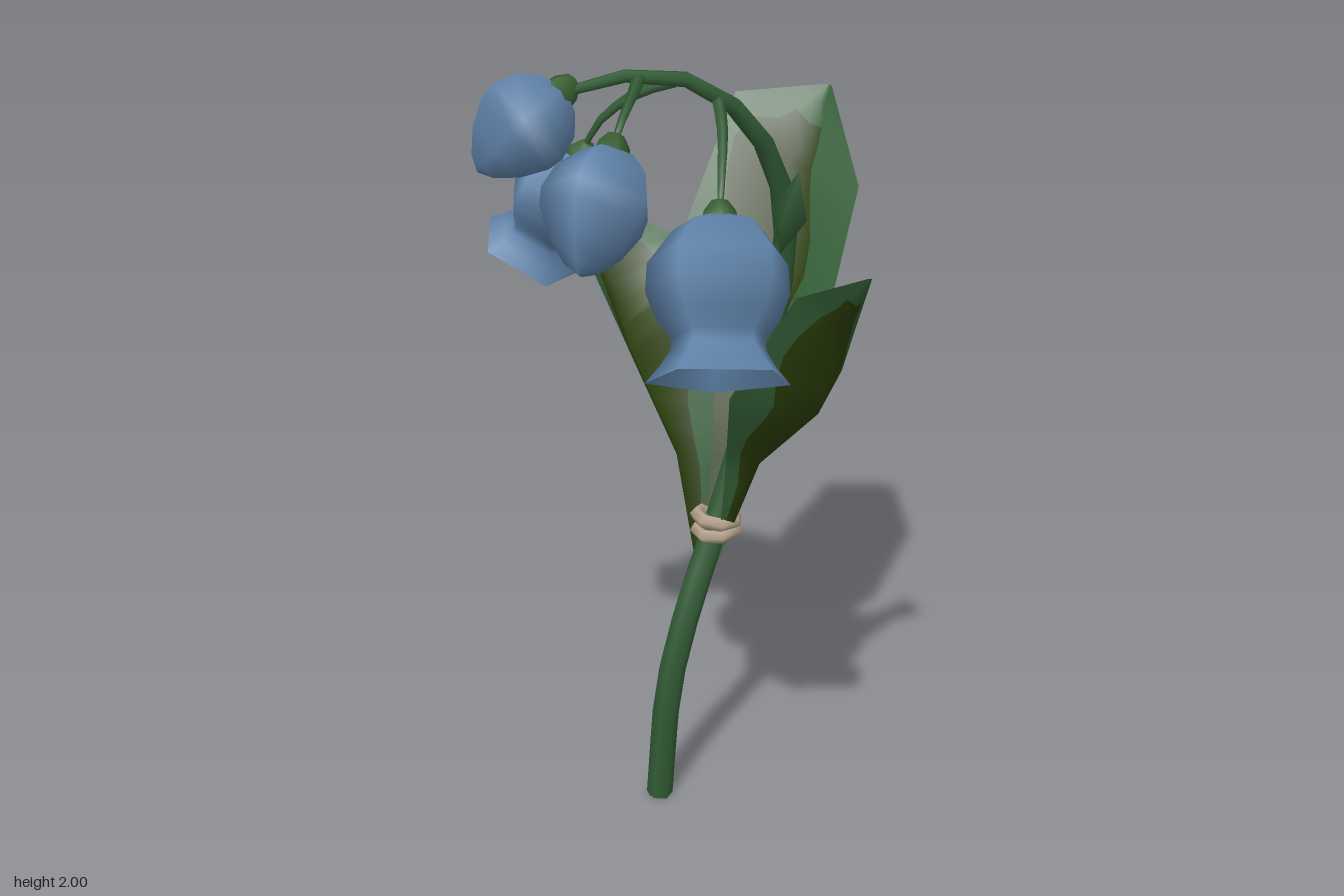
import * as THREE from 'three';

const mat = (name, color) => Object.assign(
  new THREE.MeshStandardMaterial({ color, side: THREE.DoubleSide }), { name });
const V = (p) => new THREE.Vector3(...p);

export function createModel() {
  const model = new THREE.Group();
  const green = mat('leaf green', 0x335d36);
  const mossy = mat('calyx green', 0x385f30);
  const olive = mat('olive green', 0x2a3d08);
  const blue = mat('petal blue', 0x6083aa);
  const twine = mat('twine beige', 0xb8a590);

  const add = (name, geometry, material, parent = model) => {
    const mesh = new THREE.Mesh(geometry, material);
    mesh.name = name;
    parent.add(mesh);
    return mesh;
  };

  // Tapered tube through points, radius running from r0 to r1
  const taperTube = (points, r0, r1, n, sides, power) => {
    const curve = new THREE.CatmullRomCurve3(points.map(V));
    const geo = new THREE.TubeGeometry(curve, n, 1, sides);
    const pos = geo.attributes.position;
    const p = new THREE.Vector3();
    for (let i = 0; i <= n; i++) {
      const c = curve.getPointAt(i / n);
      const r = r0 + (r1 - r0) * Math.pow(i / n, power);
      for (let j = 0; j <= sides; j++) {
        const k = i * (sides + 1) + j;
        p.fromBufferAttribute(pos, k).sub(c).multiplyScalar(r).add(c);
        pos.setXYZ(k, p.x, p.y, p.z);
      }
    }
    return geo;
  };

  // Main stem, arching forward over the top
  add('stem', taperTube([
    [-0.095, 0.005, 0.045], [-0.06, 0.36, 0.05], [-0.02, 0.6, 0.0], [0.02, 0.8, -0.07],
    [0.06, 1.0, -0.12], [0.1, 1.2, -0.15], [0.14, 1.4, -0.16], [0.17, 1.6, -0.12],
    [0.165, 1.76, -0.05], [0.12, 1.9, 0.06], [0.04, 1.975, 0.16], [-0.06, 1.985, 0.23],
    [-0.17, 1.955, 0.31]], 0.035, 0.011, 18, 6, 3), green);
  const cut = add('stemBase', new THREE.CircleGeometry(0.034, 6), green);
  cut.position.set(-0.095, 0.005, 0.045);
  cut.rotation.x = Math.PI / 2;

  // Small spindle-shaped bract on the upper stem
  const bract = add('bract', new THREE.LatheGeometry(
    [[0, -0.12], [0.045, 0], [0, 0.12]].map((p) => new THREE.Vector2(...p)), 4), green);
  bract.position.set(0.195, 1.63, -0.085);
  bract.quaternion.setFromUnitVectors(V([0, 1, 0]), V([0.07, 0.23, 0.06]).normalize());

  // Thin stalks carrying the hanging bells
  [
    [[0.09, 1.93, 0.09], [0.14, 1.87, 0.17], [0.18, 1.79, 0.26], [0.2, 1.72, 0.31]],
    [[0.02, 1.97, 0.16], [-0.06, 1.94, 0.18], [-0.15, 1.87, 0.195], [-0.2, 1.79, 0.19]],
    [[-0.04, 1.98, 0.21], [-0.01, 1.96, 0.3], [0.005, 1.92, 0.38], [0.005, 1.86, 0.43]],
  ].forEach((pts) => add('stalk', taperTube(pts, 0.016, 0.006, 6, 5, 1), green));

  // Five-sided flowers; profiles are [radius, fraction of length], far end to crown
  const flared = [[0.46, 1], [0.36, 0.89], [0.3, 0.8], [0.3, 0.73], [0.39, 0.62],
    [0.46, 0.45], [0.45, 0.27], [0.29, 0.08], [0.05, 0]];
  const closed = [[0, 1], [0.14, 0.93], [0.3, 0.76], [0.42, 0.54], [0.44, 0.4],
    [0.37, 0.2], [0.22, 0.06], [0.05, 0]];
  const flower = (name, top, end, profile, phi) => {
    const axis = V(end).sub(V(top));
    const len = axis.length();
    const group = new THREE.Group();
    group.name = name;
    group.position.copy(V(top));
    group.quaternion.setFromUnitVectors(V([0, -1, 0]), axis.normalize());
    const start = phi * Math.PI / 180;
    add('petals', new THREE.LatheGeometry(
      profile.map(([r, t]) => new THREE.Vector2(r * len, -t * len)), 5, start), blue, group);
    add('calyx', new THREE.LatheGeometry(
      [[0.042, -0.024], [0.036, 0.006], [0.018, 0.03], [0, 0.034]].map((p) => new THREE.Vector2(...p)),
      5, start + 0.6), mossy, group);
    model.add(group);
  };
  flower('rightBell', [0.2, 1.73, 0.31], [0.28, 1.425, 0.475], flared, 66);
  flower('lowerLeftBell', [-0.2, 1.79, 0.19], [-0.345, 1.545, 0.19], flared, 51);
  flower('upperLeftBud', [-0.175, 1.96, 0.305], [-0.325, 1.79, 0.43], closed, 20);
  flower('middleBud', [0.005, 1.875, 0.42], [0.015, 1.645, 0.585], closed, 5);

  // Leaf from rows of [edge, midrib, edge]; reachA and reachB set how far the
  // olive patch spreads from the midrib towards each edge
  const leaf = (name, rows, seed, reachA, reachB) => {
    const sub = 4;
    const n = (rows.length - 1) * sub;
    const pos = [];
    for (let i = 0; i <= n; i++) {
      const k = Math.min(Math.floor(i / sub), rows.length - 2);
      const f = i / sub - k;
      const [a, m, b] = rows[k].map((p, j) => V(p).lerp(V(rows[k + 1][j]), f));
      const v = i / n;
      const wave = (s) => 0.1 * Math.sin(i * 1.3 + s);
      const fade = v > 0.7 ? 1 - (v - 0.7) * 2.2 : 1;
      const wa = (reachA + wave(seed)) * fade;
      const wb = (reachB + wave(seed + 2)) * fade;
      [a, m.clone().lerp(a, wa), m, m.clone().lerp(b, wb), b].forEach((p) => pos.push(p.x, p.y, p.z));
    }
    const plain = [];
    const patch = [];
    for (let i = 0; i < n; i++) {
      for (let j = 0; j < 4; j++) {
        const q = i * 5 + j;
        const inPatch = (j === 1 || j === 2) && i < n - 2;
        (inPatch ? patch : plain).push(q, q + 1, q + 5, q + 1, q + 6, q + 5);
      }
    }
    const geo = new THREE.BufferGeometry();
    geo.setAttribute('position', new THREE.Float32BufferAttribute(pos, 3));
    geo.setIndex([...plain, ...patch]);
    geo.addGroup(0, plain.length, 0);
    geo.addGroup(plain.length, patch.length, 1);
    geo.computeVertexNormals();
    add(name, geo, [green, olive]);
  };
  leaf('backLeaf', [
    [[-0.02, 0.72, -0.05], [0.01, 0.72, -0.07], [0.04, 0.72, -0.05]],
    [[-0.1, 1.05, -0.14], [0.02, 1.02, -0.19], [0.13, 1.03, -0.12]],
    [[-0.19, 1.5, -0.32], [0.02, 1.38, -0.36], [0.24, 1.28, -0.2]],
    [[-0.15, 1.8, -0.53], [0.02, 1.64, -0.49], [0.24, 1.62, -0.42]],
    [[0.06, 1.825, -0.6], [0.08, 1.825, -0.61], [0.09, 1.82, -0.6]]], 0, 0.72, 0.46);
  leaf('leftLeaf', [
    [[0.04, 0.76, -0.04], [0.05, 0.75, -0.06], [0.04, 0.76, -0.1]],
    [[0.07, 0.98, -0.01], [0.14, 0.99, -0.06], [0.12, 1.0, -0.15]],
    [[0.13, 1.22, 0.1], [0.3, 1.16, -0.04], [0.3, 1.22, -0.19]],
    [[0.29, 1.49, 0.09], [0.37, 1.39, 0.0], [0.36, 1.39, -0.14]],
    [[0.45, 1.55, 0.06], [0.455, 1.55, 0.06], [0.455, 1.55, 0.05]]], 1, 0.6, 0.82);
  leaf('rightLeaf', [
    [[-0.02, 0.71, -0.02], [-0.03, 0.7, -0.04], [-0.01, 0.72, -0.07]],
    [[-0.07, 0.99, -0.02], [-0.11, 0.98, -0.09], [-0.03, 1.02, -0.15]],
    [[-0.16, 1.24, 0.03], [-0.24, 1.22, -0.1], [-0.08, 1.46, -0.28]],
    [[-0.36, 1.46, -0.09], [-0.34, 1.43, -0.16], [-0.23, 1.48, -0.29]],
    [[-0.44, 1.57, -0.19], [-0.445, 1.575, -0.2], [-0.44, 1.57, -0.21]]], 3, 0.72, 0.56);

  // Twine wound twice around the bunch
  [[0.778, 0.08], [0.81, -0.1]].forEach(([y, tilt]) => {
    const ring = add('twine', new THREE.TorusGeometry(0.051, 0.019, 5, 7), twine);
    ring.position.set(0.015, y, -0.077);
    ring.rotation.set(Math.PI / 2 + tilt, tilt, 0);
  });

  return model;
}
